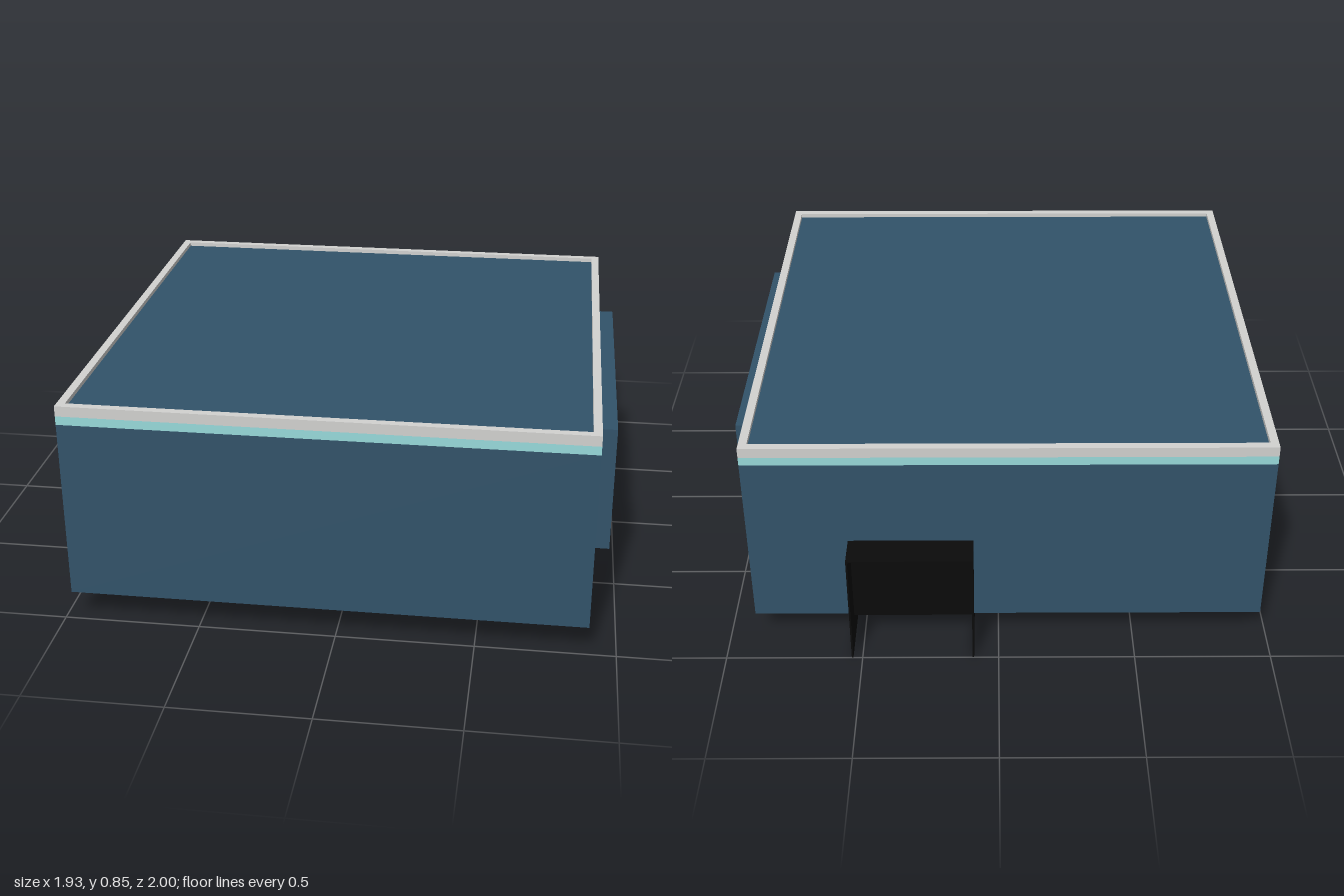
import * as THREE from 'three';

const mat = (name, color) => Object.assign(new THREE.MeshStandardMaterial({ color }), { name });

export function createModel() {
  const model = new THREE.Group();
  const blue = mat('wall blue', 0x32536a);
  const aqua = mat('trim aqua', 0x98dadb);
  const grey = mat('cap grey', 0xd2d2d0);
  const tan = mat('mat tan', 0xdcb58e);
  const black = mat('hatch black', 0x0b0b0b);

  // Box given by its limits on each axis
  const box = (name, m, [x0, x1], [y0, y1], [z0, z1]) => {
    const mesh = new THREE.Mesh(new THREE.BoxGeometry(x1 - x0, y1 - y0, z1 - z0), m);
    mesh.position.set((x0 + x1) / 2, (y0 + y1) / 2, (z0 + z1) / 2);
    mesh.name = name;
    model.add(mesh);
    return mesh;
  };
  const plate = (name, m, shape, depth) => {
    const geo = new THREE.ExtrudeGeometry(shape, { depth, bevelEnabled: false, curveSegments: 12 });
    const mesh = new THREE.Mesh(geo, m);
    mesh.name = name;
    model.add(mesh);
    return mesh;
  };
  const polygon = (pts) => new THREE.Shape(pts.map(([x, y]) => new THREE.Vector2(x, y)));

  const L = -0.97, R = 0.9, B = -0.88, F = 1, T = 0.03;
  const winY = [0.24, 0.72], winZ = [-0.54, 0.66];

  // Room shell: three solid walls and one with a window opening
  const wallY = [0.11, 0.78];
  box('frontWall', blue, [L, R], wallY, [F - T, F]);
  box('backWall', blue, [L, R], wallY, [B, B + T]);
  box('leftEndWall', blue, [L, L + T], wallY, [B + T, F - T]);
  const windowWall = polygon([[-(F - T), 0.11], [-(B + T), 0.11], [-(B + T), 0.78], [-(F - T), 0.78]]);
  windowWall.holes.push(new THREE.Path([
    [-winZ[1], winY[0]], [-winZ[1], winY[1]], [-winZ[0], winY[1]], [-winZ[0], winY[0]],
  ].map(([x, y]) => new THREE.Vector2(x, y))));
  const ww = plate('windowWall', blue, windowWall, T);
  ww.rotation.y = Math.PI / 2;
  ww.position.x = R - T;

  box('floor', blue, [L + T, R - T], [0.11, 0.118], [B + T, F - T]);
  box('roof', blue, [L + T, R - T], [0.822, 0.834], [B + T, F - T]);

  // Coloured bands around the top of the walls
  const ring = (name, m, y0, y1) => {
    const s = polygon([[L, -F], [R, -F], [R, -B], [L, -B]]);
    s.holes.push(new THREE.Path([
      [L + T, -F + T], [L + T, -B - T], [R - T, -B - T], [R - T, -F + T],
    ].map(([x, y]) => new THREE.Vector2(x, y))));
    const mesh = plate(name, m, s, y1 - y0);
    mesh.rotation.x = -Math.PI / 2;
    mesh.position.y = y0;
  };
  ring('aquaBand', aqua, 0.78, 0.812);
  ring('wallCap', grey, 0.812, 0.85);

  // Projecting window surround with a pale sill
  const bayX = [R - T, 0.965], t = 0.012;
  box('windowHead', blue, bayX, [winY[1] - t, winY[1]], winZ);
  box('windowSill', aqua, bayX, [winY[0], winY[0] + t], [winZ[0] + t, winZ[1] - t]);
  box('windowJambBack', blue, bayX, [winY[0], winY[1] - t], [winZ[0], winZ[0] + t]);
  box('windowJambFront', blue, bayX, [winY[0], winY[1] - t], [winZ[1] - t, winZ[1]]);

  // Floor mat with clipped corners, showing on both sides of the floor
  const floorMat = plate('floorMat', tan, polygon([
    [0.77, -0.59], [0.77, 0.65], [0.7, 0.72], [0.55, 0.73],
    [0.41, 0.6], [0.41, -0.44], [0.5, -0.53], [0.62, -0.58],
  ]), 0.014);
  floorMat.rotation.x = -Math.PI / 2;
  floorMat.position.y = 0.107;

  // Black open hood wrapping the lower back edge
  const hx = [0.09, 0.54], p = 0.006;
  const cheek = [[1, 0], [1, 0.45], [0.88, 0.45], [0.88, 0.11], [0.55, 0.11], [0.55, 0]];
  for (const x of [hx[0], hx[1] - p]) {
    const side = plate('hoodSide', black, polygon(cheek), p);
    side.rotation.y = Math.PI / 2;
    side.position.x = x;
  }
  box('hoodTop', black, hx, [0.45 - p, 0.45], [-1, B]);
  box('hoodFront', black, hx, [0, 0.11], [-0.55 - p, -0.55]);
  box('hoodBackLining', black, hx, [0.105, 0.45], [B - 0.004, B]);
  box('hoodFloorLining', black, hx, [0.104, 0.11], [B, -0.55]);

  // Casing of the hood inside the room
  box('innerCasing', blue, hx, [0.118, 0.45], [B + T, -0.55]);

  // Pale rounded patch on the casing corner
  const front = new THREE.Shape();
  front.moveTo(0.54, 0.118);
  front.lineTo(0.54, 0.28);
  front.quadraticCurveTo(0.43, 0.26, 0.42, 0.118);
  plate('cornerPatchFront', grey, front, 0.004).position.z = -0.55;
  const end = new THREE.Shape();
  end.moveTo(0.546, 0.118);
  end.lineTo(0.72, 0.118);
  end.lineTo(0.72, 0.2);
  end.quadraticCurveTo(0.71, 0.26, 0.64, 0.27);
  end.lineTo(0.546, 0.28);
  const endPatch = plate('cornerPatchEnd', grey, end, 0.004);
  endPatch.rotation.y = Math.PI / 2;
  endPatch.position.x = 0.54;

  // Small arched handle on the far inner wall
  const handle = new THREE.Mesh(new THREE.TorusGeometry(0.062, 0.006, 8, 20, Math.PI), black);
  handle.name = 'wallHandle';
  handle.rotation.y = Math.PI / 2;
  handle.position.set(L + T + 0.006, 0.235, 0);
  model.add(handle);

  return model;
}
